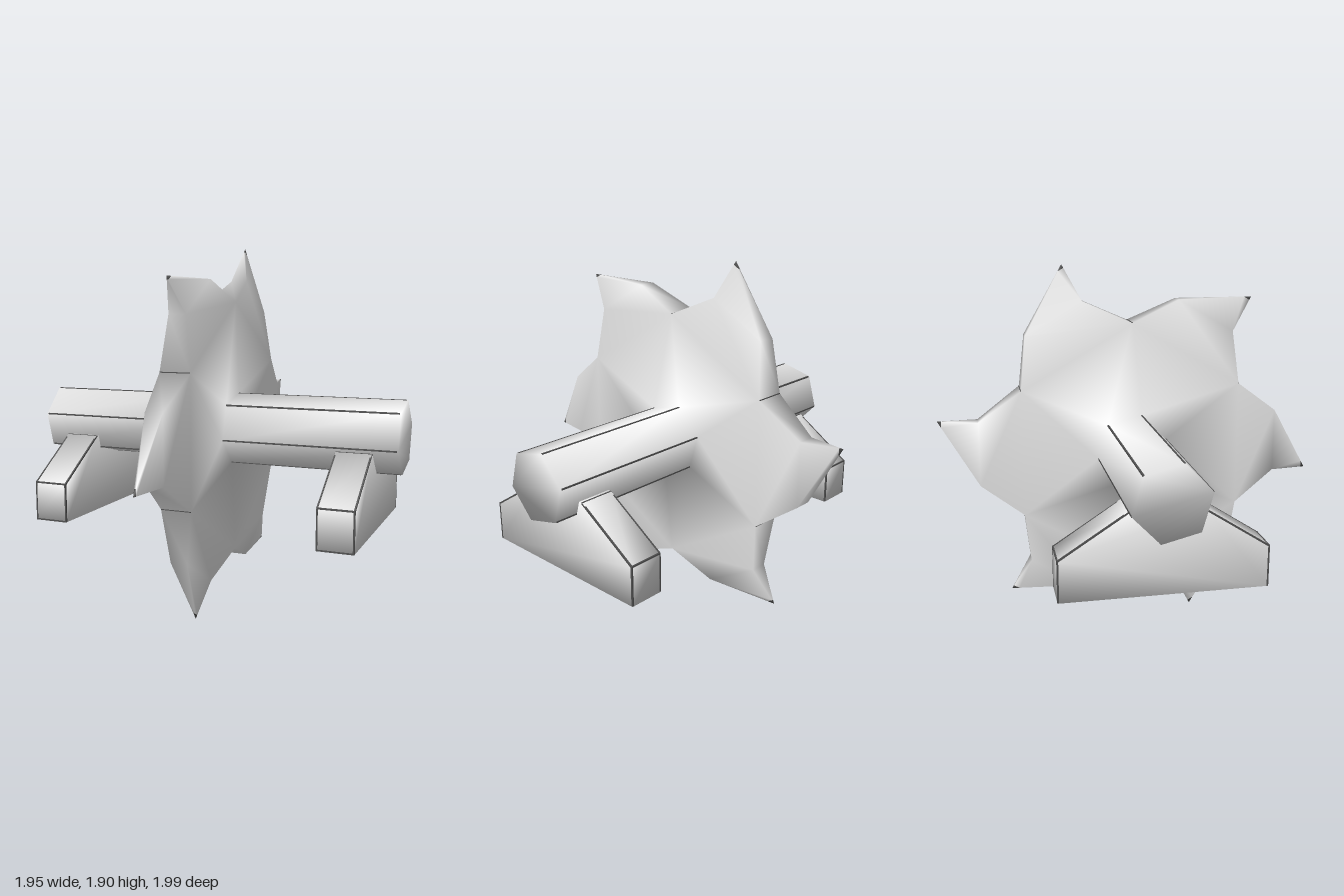
import * as THREE from 'three';
import { mergeVertices } from 'three/addons/utils/BufferGeometryUtils.js';

const CENTER_Y = 0.955;

// Point from an angle and radius around the axle
function polar(deg, r, x) {
  const a = THREE.MathUtils.degToRad(deg);
  return new THREE.Vector3(x, CENTER_Y + r * Math.sin(a), r * Math.cos(a));
}

// Corner angle of the hexagonal axle, mirrored front to back on the other side
const axleAngle = (k, s) => 30 + 60 * k + 16 * s;

// Hexagonal disc with six hooked teeth, flowing smoothly into the axle.
// Group 0 is the body, group 1 the extreme ends of the teeth.
function wheelGeometry() {
  const pos = [], body = [], ends = [];
  const vert = (p) => pos.push(p.x, p.y, p.z) / 3 - 1;
  // fan of triangles; corners are listed for the +x side and reversed for -x
  const face = (s, corners, list = body) => {
    const c = s > 0 ? corners : [...corners].reverse();
    for (let i = 1; i < c.length - 1; i++) list.push(c[0], c[i], c[i + 1]);
  };
  const pair = (deg, r, x) => [vert(polar(deg, r, x)), vert(polar(deg, r, -x))]; // [+x, -x]
  const ring = (fn) => Array.from({ length: 6 }, (_, k) => fn(k));

  const valleys = ring((k) => pair(30 + 60 * k, 0.66, 0.08));
  for (const s of [1, -1]) {
    const i = s > 0 ? 0 : 1;
    const inner = ring((k) => vert(polar(axleAngle(k, s), 0.186, 0.08 * s)));
    const outer = ring((k) => vert(polar(axleAngle(k, s), 0.186, 0.977 * s)));
    for (let k = 0; k < 6; k++) {
      const n = (k + 1) % 6;
      face(s, [inner[k], inner[n], valleys[n][i], valleys[k][i]]); // disc
      face(s, [inner[k], outer[k], outer[n], inner[n]]);           // axle
    }
    face(s, [...outer].reverse());                                 // axle end
  }

  for (let k = 0; k < 6; k++) {
    const p = valleys[k], q = valleys[(k + 1) % 6];
    const tipPoint = polar(50 + 60 * k, 1.012, 0);
    const tip = vert(tipPoint);
    const shoulder = (deg) => [0.045, -0.045].map((x) => polar(deg + 60 * k, 0.81, x));
    const aPoints = shoulder(48), bPoints = shoulder(72);
    const a = aPoints.map(vert), b = bPoints.map(vert);
    const nib = (points) => points.map((v) => vert(v.clone().lerp(tipPoint, 0.9)));
    const c = nib(aPoints), d = nib(bPoints);
    for (const s of [1, -1]) {
      const i = s > 0 ? 0 : 1;
      face(s, [q[i], b[i], a[i], p[i]]);
      face(s, [b[i], d[i], c[i], a[i]]);
      face(s, [d[i], tip, c[i]], ends);
    }
    // rim on both flanks of the tooth
    face(1, [p[0], a[0], a[1], p[1]]);
    face(1, [a[0], c[0], c[1], a[1]]);
    face(1, [c[0], tip, c[1]], ends);
    face(1, [q[1], b[1], b[0], q[0]]);
    face(1, [b[1], d[1], d[0], b[0]]);
    face(1, [d[1], tip, d[0]], ends);
  }

  const geo = new THREE.BufferGeometry();
  geo.setAttribute('position', new THREE.Float32BufferAttribute(pos, 3));
  geo.setIndex([...body, ...ends]);
  geo.addGroup(0, body.length, 0);
  geo.addGroup(body.length, ends.length, 1);
  geo.computeVertexNormals();
  return geo;
}

// Smoothly shaded prism along x from an outline of [z, y] points
function prism(points, x0, x1) {
  const shape = new THREE.Shape(points.map(([z, y]) => new THREE.Vector2(-z, y)));
  const geo = new THREE.ExtrudeGeometry(shape, { depth: x1 - x0, bevelEnabled: false });
  geo.rotateY(Math.PI / 2);
  geo.translate(x0, 0, 0);
  geo.deleteAttribute('uv');
  geo.deleteAttribute('normal');
  const smooth = mergeVertices(geo);
  smooth.computeVertexNormals();
  return smooth;
}

export function createModel() {
  const group = new THREE.Group();
  const grey = new THREE.MeshStandardMaterial({ color: 0xe7e7e7 });
  grey.name = 'light grey';
  const dark = new THREE.MeshStandardMaterial({ color: 0x505050 });
  dark.name = 'dark grey';

  const add = (geo, material, name) => {
    const mesh = new THREE.Mesh(geo, material);
    mesh.name = name;
    group.add(mesh);
    return mesh;
  };
  // Thin dark line along an edge
  const seam = (from, to, name) => {
    const geo = new THREE.BoxGeometry(0.008, 0.008, from.distanceTo(to));
    const mesh = add(geo, dark, name);
    mesh.position.copy(from).lerp(to, 0.5);
    mesh.lookAt(to);
  };

  add(wheelGeometry(), [grey, dark], 'toothedWheelWithAxle');
  for (let k = 0; k < 6; k++) {
    seam(polar(30 + 60 * k, 0.658, -0.078), polar(30 + 60 * k, 0.658, 0.078), 'wheelSeam');
    for (const s of [1, -1]) {
      const angle = axleAngle(k, s);
      seam(polar(angle, 0.183, 0.08 * s), polar(angle, 0.183, 0.97 * s), 'axleSeam');
    }
  }

  // Feet under the axle, with seams along their edges
  const footOutline = [
    [-0.49, 0.48], [0.49, 0.48], [0.49, 0.68],
    [0.17, 0.89], [-0.17, 0.89], [-0.49, 0.68],
  ];
  for (const [x0, x1, name] of [[0.67, 0.85, 'leftFoot'], [-0.85, -0.67, 'rightFoot']]) {
    add(prism(footOutline, x0, x1), grey, name);
    const corner = (i, x) => {
      const [z, y] = footOutline[i % 6];
      return new THREE.Vector3(x, y - Math.sign(y - 0.68) * 0.003, z - Math.sign(z) * 0.003);
    };
    for (let i = 1; i < 6; i++) {
      seam(corner(i, x0), corner(i, x1), name + 'Seam');
      if (i === 3) continue; // the flat top lies inside the axle
      for (const x of [x0 + 0.003, x1 - 0.003]) seam(corner(i, x), corner(i + 1, x), name + 'Seam');
    }
  }
  return group;
}
